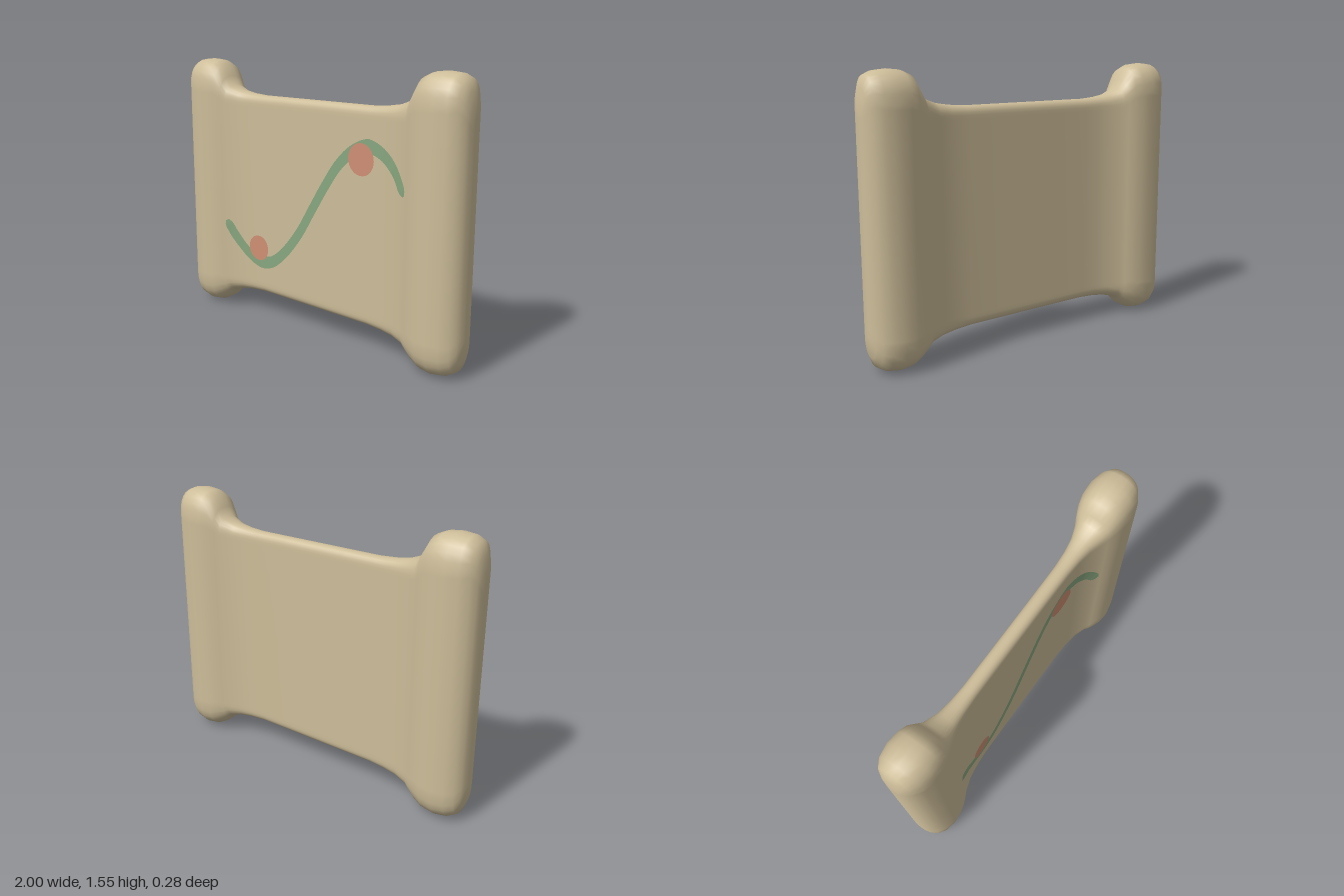
import * as THREE from 'three';

const parchment = new THREE.MeshStandardMaterial({ color: 0xcdbd99 });
parchment.name = 'parchment';
const vineGreen = new THREE.MeshStandardMaterial({ color: 0x88a77f, side: THREE.DoubleSide });
vineGreen.name = 'vine green';
const flowerRed = new THREE.MeshStandardMaterial({ color: 0xcf8f74, side: THREE.DoubleSide });
flowerRed.name = 'flower red';

// Half of the scroll, from the middle outwards: x, bottom, top, half depth, cap height
const half = [
  [0.2, 0.145, 1.355, 0.043, 0.05],
  [0.4, 0.145, 1.355, 0.044, 0.05],
  [0.5, 0.138, 1.362, 0.05, 0.055],
  [0.58, 0.127, 1.375, 0.062, 0.065],
  [0.66, 0.105, 1.405, 0.088, 0.085],
  [0.69, 0.075, 1.455, 0.104, 0.11],
  [0.73, 0.04, 1.525, 0.122, 0.15],
  [0.78, 0.012, 1.547, 0.136, 0.165],
  [0.85, 0.002, 1.554, 0.141, 0.17],
  [0.92, 0.014, 1.547, 0.128, 0.16],
  [0.965, 0.04, 1.527, 0.098, 0.13],
  [0.988, 0.095, 1.465, 0.065, 0.1],
  [0.998, 0.16, 1.38, 0.035, 0.06],
  [1, 0.2, 1.33, 0, 0.03],
];
const stations = [...half.map(([x, ...r]) => [-x, ...r]).reverse(), ...half];

// Front surface depth at a given x, linear between stations
function depthAt(x) {
  const i = Math.max(1, half.findIndex((s) => s[0] >= Math.abs(x)));
  const a = half[i - 1], b = half[i];
  const t = Math.max(0, (Math.abs(x) - a[0]) / (b[0] - a[0]));
  return a[3] + (b[3] - a[3]) * t;
}

// Skin over rows of points, each row optionally a closed ring
function gridGeometry(rows, closed) {
  const n = rows[0].length, index = [];
  for (let i = 0; i < rows.length - 1; i++) {
    for (let j = 0; j < (closed ? n : n - 1); j++) {
      const k = (j + 1) % n;
      const a = i * n + j, b = i * n + k, c = a + n, d = b + n;
      index.push(a, c, b, b, c, d);
    }
  }
  const g = new THREE.BufferGeometry();
  g.setAttribute('position', new THREE.Float32BufferAttribute(rows.flat(2), 3));
  g.setIndex(index);
  g.computeVertexNormals();
  return g;
}

// Tall cross-section with full, rounded top and bottom
function section([x, bottom, top, depth, cap]) {
  const ring = [], steps = 12;
  const flats = [0.02, 0.15, 0.5, 0.85, 0.98];
  const lo = bottom + cap, hi = top - cap;
  const full = (v) => Math.sign(v) * Math.abs(v) ** 0.87;
  for (const [from, to, side] of [[hi, lo, 1], [lo, hi, -1]]) {
    for (let i = 0; i <= steps; i++) {
      const a = (i / steps) * Math.PI;
      ring.push([x, from + side * cap * full(Math.sin(a)), side * depth * full(Math.cos(a))]);
    }
    flats.forEach((f) => ring.push([x, from + (to - from) * f, -side * depth]));
  }
  // Order the ring so that the skin faces outwards
  return ring;
}

// Curving vine, widest in its bends, laid on the front surface
function vineGeometry() {
  const path = new THREE.CatmullRomCurve3([
    [-0.665, 0.575], [-0.62, 0.495], [-0.54, 0.405], [-0.47, 0.36], [-0.4, 0.345],
    [-0.32, 0.363], [-0.22, 0.44], [-0.1, 0.58], [0, 0.735], [0.1, 0.89],
    [0.2, 1.025], [0.3, 1.11], [0.4, 1.145], [0.5, 1.115], [0.59, 1.04], [0.665, 0.925],
  ].map(([x, y]) => new THREE.Vector3(x, y, 0)));
  const rows = [], steps = 96;
  for (let i = 0; i <= steps; i++) {
    const t = i / steps;
    const p = path.getPointAt(t), d = path.getTangentAt(t);
    const end = Math.min(1, Math.sqrt(Math.min(t, 1 - t) / 0.02));
    const bend = 1 - Math.abs(d.y);
    const w = (0.026 + 0.014 * bend) * (0.35 + 0.65 * end);
    rows.push([-1, 1].map((s) => {
      const x = p.x - d.y * w * s, y = p.y + d.x * w * s;
      return [x, y, depthAt(x) + 0.002];
    }));
  }
  return gridGeometry(rows, false);
}

// Round flower patch laid on the front surface
function flower(name, x, y, r) {
  const g = new THREE.CircleGeometry(r, 32);
  g.translate(x, y, 0);
  const p = g.attributes.position;
  for (let i = 0; i < p.count; i++) p.setZ(i, depthAt(p.getX(i)) + 0.004);
  return part(name, g, flowerRed);
}

function part(name, geometry, material) {
  const m = new THREE.Mesh(geometry, material);
  m.name = name;
  return m;
}

export function createModel() {
  const group = new THREE.Group();
  group.name = 'scroll';
  group.add(
    part('scrollBody', gridGeometry(stations.map(section), true), parchment),
    part('vine', vineGeometry(), vineGreen),
    flower('lowerFlower', -0.43, 0.43, 0.077),
    flower('upperFlower', 0.355, 1.07, 0.088),
  );
  return group;
}
